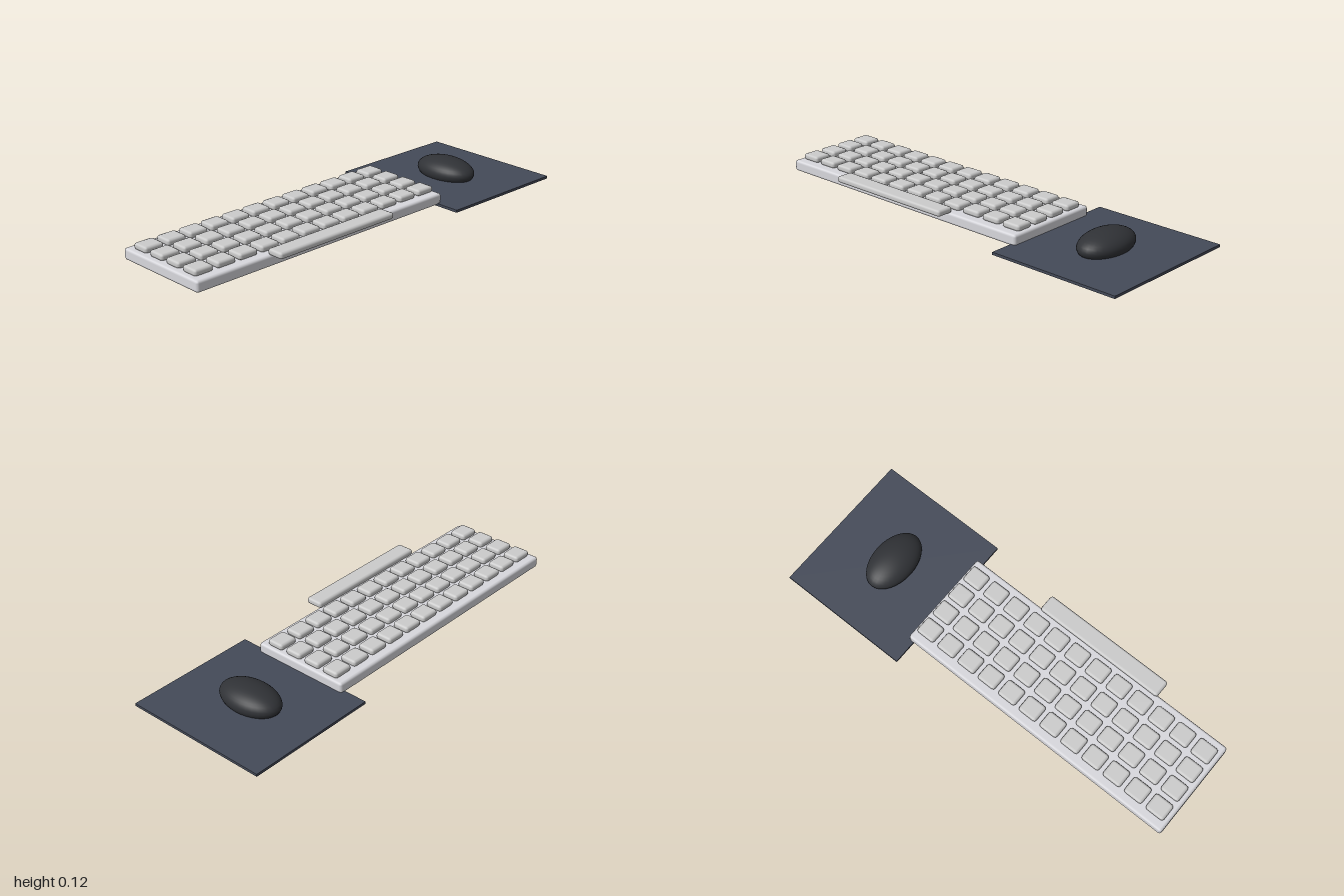
import * as THREE from 'three';
import { RoundedBoxGeometry } from 'three/addons/geometries/RoundedBoxGeometry.js';

export function createModel() {
  const root = new THREE.Group();
  root.name = 'keyboardAndMouse';

  const caseMat = new THREE.MeshStandardMaterial({ color: 0xd8d8dd });
  const keyMat = new THREE.MeshStandardMaterial({ color: 0xcccccc });
  const padMat = new THREE.MeshStandardMaterial({ color: 0x444a58 });
  const mouseMat = new THREE.MeshStandardMaterial({ color: 0x303236 });

  const add = (parent, name, geometry, material, x, y, z) => {
    const mesh = new THREE.Mesh(geometry, material);
    mesh.name = name;
    mesh.position.set(x, y, z);
    parent.add(mesh);
    return mesh;
  };

  // Keyboard case
  const keyboard = new THREE.Group();
  keyboard.name = 'keyboard';
  root.add(keyboard);
  add(keyboard, 'keyboardCase', new RoundedBoxGeometry(1.39, 0.052, 0.474, 1, 0.012),
    caseMat, -0.305, 0.056, 0);

  // Four rows of twelve keys
  const keys = new THREE.Group();
  keys.name = 'keys';
  keyboard.add(keys);
  const keyGeo = new RoundedBoxGeometry(0.094, 0.03, 0.083, 1, 0.012);
  for (let row = 0; row < 4; row++) {
    for (let col = 0; col < 12; col++) {
      add(keys, `key_${row + 1}_${col + 1}`, keyGeo, keyMat,
        -0.931 + col * 0.1145, 0.095, (row - 1.5) * 0.105);
    }
  }

  // Space bar overhanging the front edge
  add(keyboard, 'spaceBar', new RoundedBoxGeometry(0.645, 0.03, 0.083, 1, 0.012),
    keyMat, -0.305, 0.095, 0.263);

  // Mouse pad and mouse
  add(root, 'mousePad', new THREE.BoxGeometry(0.634, 0.012, 0.7), padMat, 0.683, 0.032, 0);
  const mouse = add(root, 'mouse', new THREE.SphereGeometry(1, 32, 20), mouseMat, 0.68, 0.062, 0);
  mouse.scale.set(0.098, 0.061, 0.155);

  return root;
}
